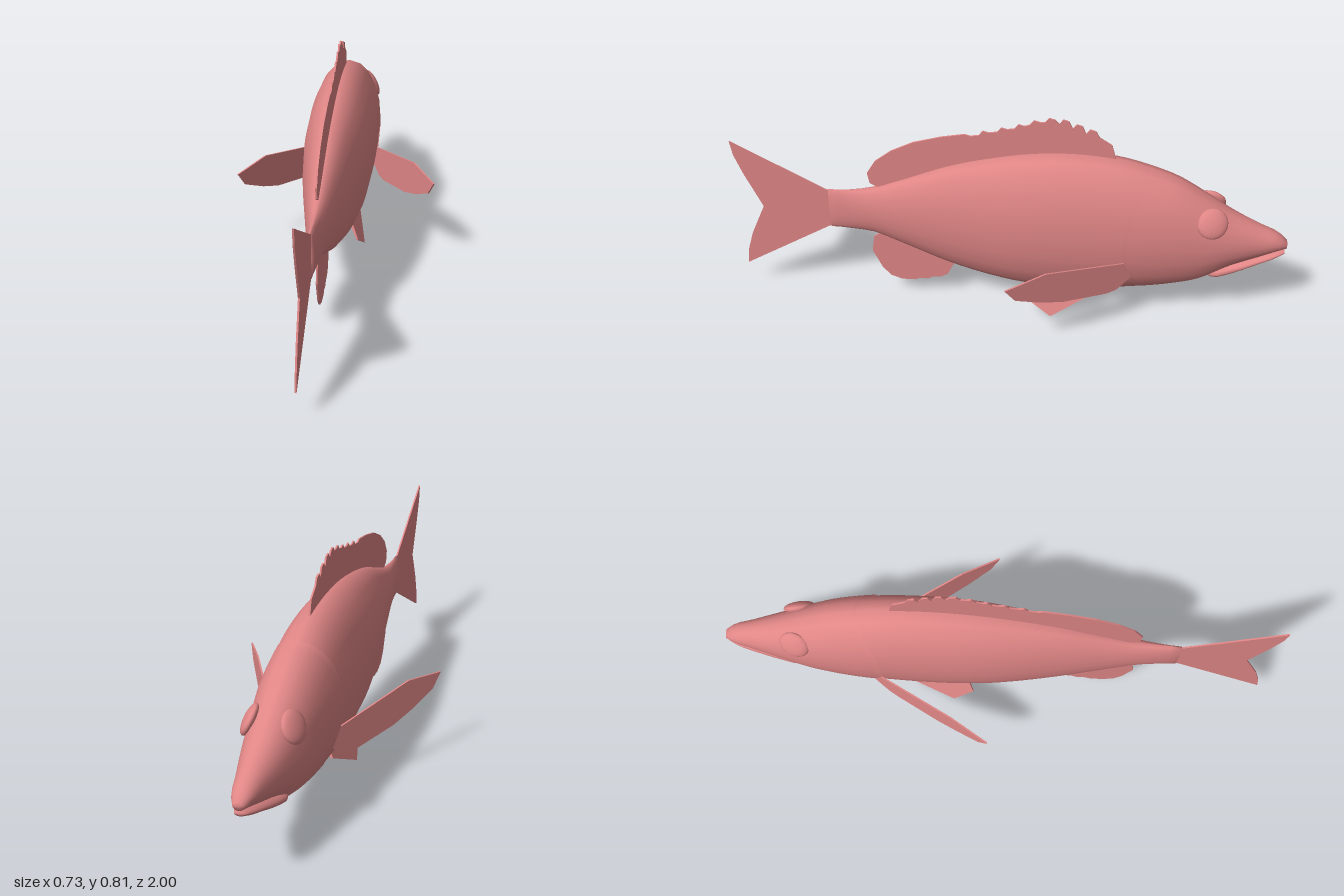
import * as THREE from 'three';

const skin = new THREE.MeshStandardMaterial({ color: 0xe08686, side: THREE.DoubleSide });
skin.name = 'rosy skin';

// Smooth lookup through stations of [z, bottom, top, halfWidth]
function stations(rows) {
  const f = new THREE.CubicInterpolant(rows.map(r => r[0]), rows.flatMap(r => r.slice(1)), 3, new Float32Array(3));
  return z => {
    const [b, t, w] = f.evaluate(z);
    return { cy: (b + t) / 2, ry: (t - b) / 2, rx: w };
  };
}

const trunk = stations([
  [-1, 0.312, 0.342, 0.018], [-0.97, 0.303, 0.37, 0.034], [-0.9, 0.272, 0.405, 0.052],
  [-0.8, 0.228, 0.458, 0.078], [-0.7, 0.165, 0.525, 0.1], [-0.6, 0.136, 0.587, 0.116],
  [-0.5, 0.118, 0.627, 0.124], [-0.4, 0.104, 0.657, 0.127], [-0.25, 0.092, 0.675, 0.128],
  [-0.1, 0.097, 0.67, 0.124], [0, 0.11, 0.655, 0.116], [0.2, 0.165, 0.605, 0.088],
  [0.4, 0.25, 0.525, 0.054], [0.5, 0.291, 0.487, 0.037], [0.58, 0.299, 0.473, 0.024],
  [0.66, 0.302, 0.47, 0.013],
]);
const jawLine = stations([
  [-0.995, 0.29, 0.304, 0.016], [-0.96, 0.272, 0.298, 0.031], [-0.9, 0.246, 0.28, 0.043],
  [-0.8, 0.2, 0.25, 0.056], [-0.74, 0.185, 0.235, 0.058], [-0.71, 0.2, 0.215, 0.03],
]);

// Skin over elliptical rings; zAt(u, angle) places each ring, swell(u) widens it
function loft(name, section, zAt, nu, nk, swell = () => 1, capStart = true, capEnd = true) {
  const pos = [], index = [];
  const rings = [];
  if (capStart) rings.push([0, 0]);
  for (let i = 0; i <= nu; i++) rings.push([i / nu, 1]);
  if (capEnd) rings.push([1, 0]);
  rings.forEach(([u, s], i) => {
    for (let k = 0; k < nk; k++) {
      const a = (k / nk) * Math.PI * 2, z = zAt(u, a), c = section(z);
      pos.push(c.rx * s * swell(u) * Math.sin(a), c.cy + c.ry * s * Math.cos(a), z);
      if (i === rings.length - 1) continue;
      const p = i * nk + k, q = i * nk + (k + 1) % nk;
      index.push(p, p + nk, q, q, p + nk, q + nk);
    }
  });
  const g = new THREE.BufferGeometry();
  g.setAttribute('position', new THREE.Float32BufferAttribute(pos, 3));
  g.setIndex(index);
  g.computeVertexNormals();
  return part(name, g);
}

function part(name, geometry) {
  const m = new THREE.Mesh(geometry, skin);
  m.name = name;
  return m;
}

// Thin plate from an outline, each vertex placed by a rule (a, b, thickness)
function fin(name, outline, place) {
  const shape = new THREE.Shape(outline.map(p => new THREE.Vector2(...p)));
  const g = new THREE.ExtrudeGeometry(shape, { depth: 0.006, bevelEnabled: false });
  const p = g.attributes.position;
  for (let i = 0; i < p.count; i++) p.setXYZ(i, ...place(p.getX(i), p.getY(i), p.getZ(i) - 0.003));
  g.computeVertexNormals();
  return part(name, g);
}
const upright = (z, y, t) => [-t, y, z];

export function createModel() {
  const fish = new THREE.Group();
  fish.name = 'fish';
  const lerp = THREE.MathUtils.lerp;

  // Body, and a head whose curved gill edge stands slightly proud of it
  fish.add(loft('body', trunk, u => lerp(-0.53, 0.66, u), 30, 20, () => 1, false, true));
  fish.add(loft('head', trunk, (u, a) => lerp(-1, -0.41 - 0.08 * Math.cos(a) ** 2, u), 22, 20,
    u => 1 + 0.03 * THREE.MathUtils.smoothstep(u, 0.6, 1), true, false));
  fish.add(loft('lowerJaw', jawLine, u => lerp(-0.995, -0.71, u), 12, 16));

  // Dorsal fin: scalloped spines in front, soft lobe behind
  const dorsal = [[-0.3, 0.62], [-0.37, 0.66], [-0.355, 0.715], [-0.31, 0.745]];
  const crest = new THREE.CatmullRomCurve3([[-0.285, 0.775], [-0.16, 0.815], [-0.02, 0.778], [0.15, 0.733]]
    .map(([z, y]) => new THREE.Vector3(z, y, 0)));
  const spines = 9;
  for (let i = 0; i < spines; i++) {
    const tip = crest.getPoint(i / (spines - 1));
    dorsal.push([tip.x - 0.012, tip.y - 0.006], [tip.x + 0.008, tip.y]);
    if (i < spines - 1) dorsal.push([tip.x + 0.022, tip.y - 0.018]);
  }
  dorsal.push([0.24, 0.718], [0.34, 0.69], [0.42, 0.65], [0.48, 0.603], [0.512, 0.55],
    [0.505, 0.508], [0.47, 0.488], [0.45, 0.45], [0.2, 0.55], [0, 0.6]);
  fish.add(fin('dorsalFin', dorsal, upright));

  // Anal fin and forked tail
  fish.add(fin('analFin', [[0.46, 0.32], [0.485, 0.28], [0.505, 0.265], [0.515, 0.2], [0.48, 0.12],
    [0.45, 0.085], [0.41, 0.069], [0.36, 0.069], [0.34, 0.078], [0.31, 0.077], [0.29, 0.088],
    [0.26, 0.09], [0.235, 0.105], [0.21, 0.155], [0.2, 0.22]], upright));
  fish.add(fin('tailFin', [[0.62, 0.46], [0.67, 0.468], [1, 0.658], [0.992, 0.6], [0.965, 0.52],
    [0.908, 0.38], [0.965, 0.255], [0.992, 0.17], [1, 0.11], [0.67, 0.305], [0.62, 0.31]], upright));

  // Paired parts, mirrored across the middle
  for (const side of [1, -1]) {
    const pair = new THREE.Group();
    pair.name = side > 0 ? 'leftParts' : 'rightParts';
    pair.scale.x = side;

    // Pectoral fin sweeps out and back
    pair.add(fin('pectoralFin', [[0.105, 0.29], [0.125, 0.297], [0.28, 0.358], [0.36, 0.338], [0.34, 0.283],
      [0.29, 0.238], [0.245, 0.208], [0.155, 0.181], [0.135, 0.184], [0.108, 0.218], [0.1, 0.25]],
    (x, y, t) => [x - t * 0.86, y, -0.42 + (x - 0.12) * 1.7 + t * 0.5]));

    // Pelvic fin splays downward, thinning to its tip
    pair.add(fin('pelvicFin', [[-0.11, 0.15], [-0.107, 0.12], [-0.086, 0.054], [-0.16, 0.005],
      [-0.32, 0.1], [-0.31, 0.15]],
    (z, y, t) => [0.05 + (0.115 - y) * 0.43 - t * (0.3 + y * 14), y, z]));

    const eye = part('eye', new THREE.SphereGeometry(1, 20, 14));
    eye.scale.set(0.02, 0.056, 0.056);
    eye.position.set(0.073, 0.455, -0.72);
    eye.rotation.set(0, 0.22, 0.45);
    pair.add(eye);
    fish.add(pair);
  }
  return fish;
}
